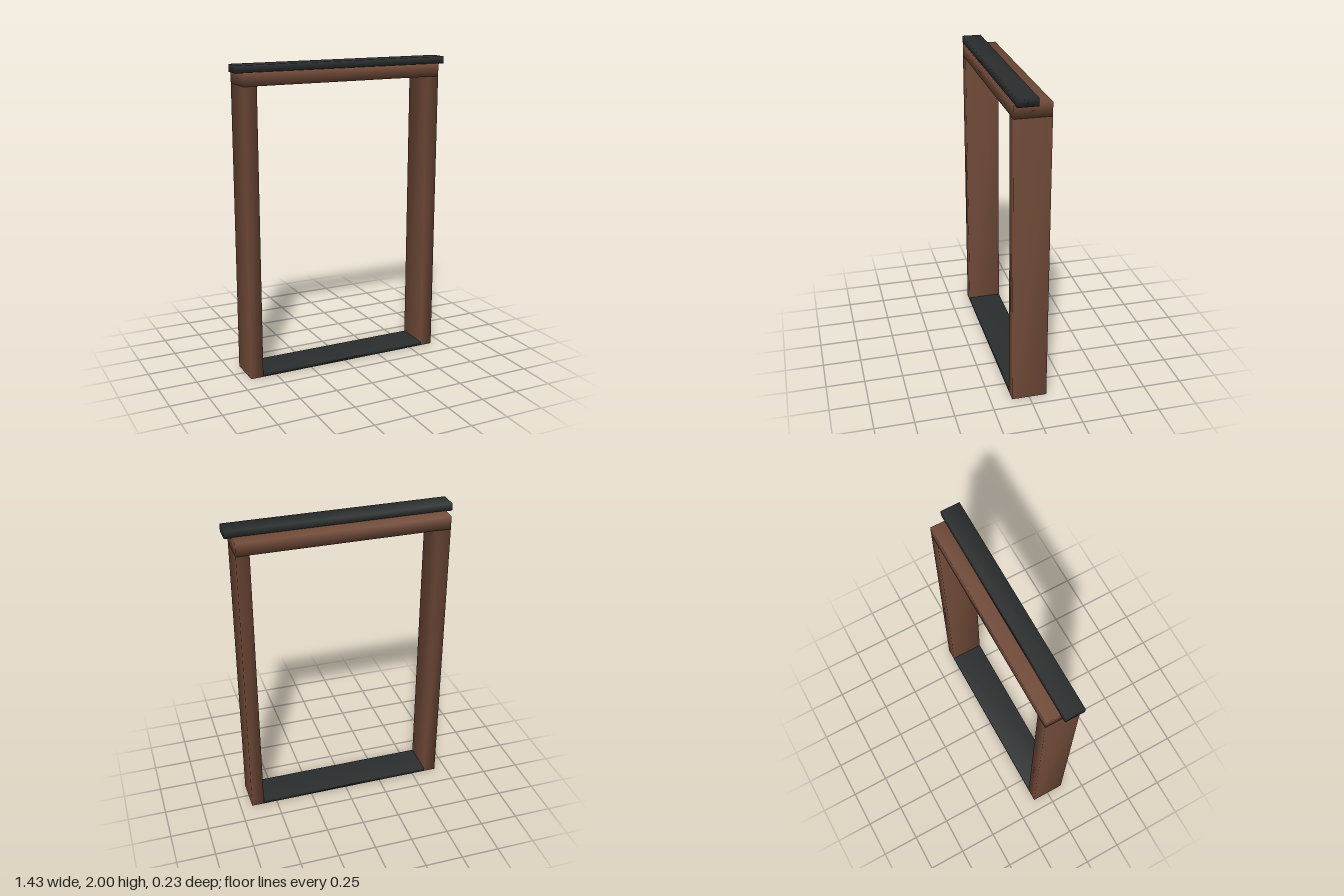
import * as THREE from 'three';
import { mergeVertices } from 'three/addons/utils/BufferGeometryUtils.js';

const wood = new THREE.MeshStandardMaterial({ color: 0x704a38 });
const metal = new THREE.MeshStandardMaterial({ color: 0x2b2e2e });

// Box between two corners, with normals blended softly over its edges
function softBox(name, material, min, max) {
  const size = max.map((v, i) => v - min[i]);
  let geometry = new THREE.BoxGeometry(...size);
  geometry.deleteAttribute('uv');
  geometry.deleteAttribute('normal');
  geometry = mergeVertices(geometry);
  geometry.computeVertexNormals();
  const mesh = new THREE.Mesh(geometry, material);
  mesh.name = name;
  mesh.position.set(...max.map((v, i) => (v + min[i]) / 2));
  return mesh;
}

export function createModel() {
  const group = new THREE.Group();
  group.name = 'doorFrame';
  const outer = 0.673, inner = 0.59, depth = 0.113, headBottom = 1.874;

  // Side posts
  group.add(softBox('leftPost', wood, [inner, 0, -depth], [outer, headBottom, depth]));
  group.add(softBox('rightPost', wood, [-outer, 0, -depth], [-inner, headBottom, depth]));

  // Head beam lying across the posts
  group.add(softBox('headBeam', wood, [-outer, headBottom, -depth], [outer, 1.957, depth]));

  // Dark rail on top, set towards the front
  group.add(softBox('topRail', metal, [-0.717, 1.953, -0.02], [0.717, 2, 0.104]));

  // Thin threshold between the posts
  group.add(softBox('threshold', metal, [-inner, 0, -depth], [inner, 0.025, depth]));

  return group;
}
